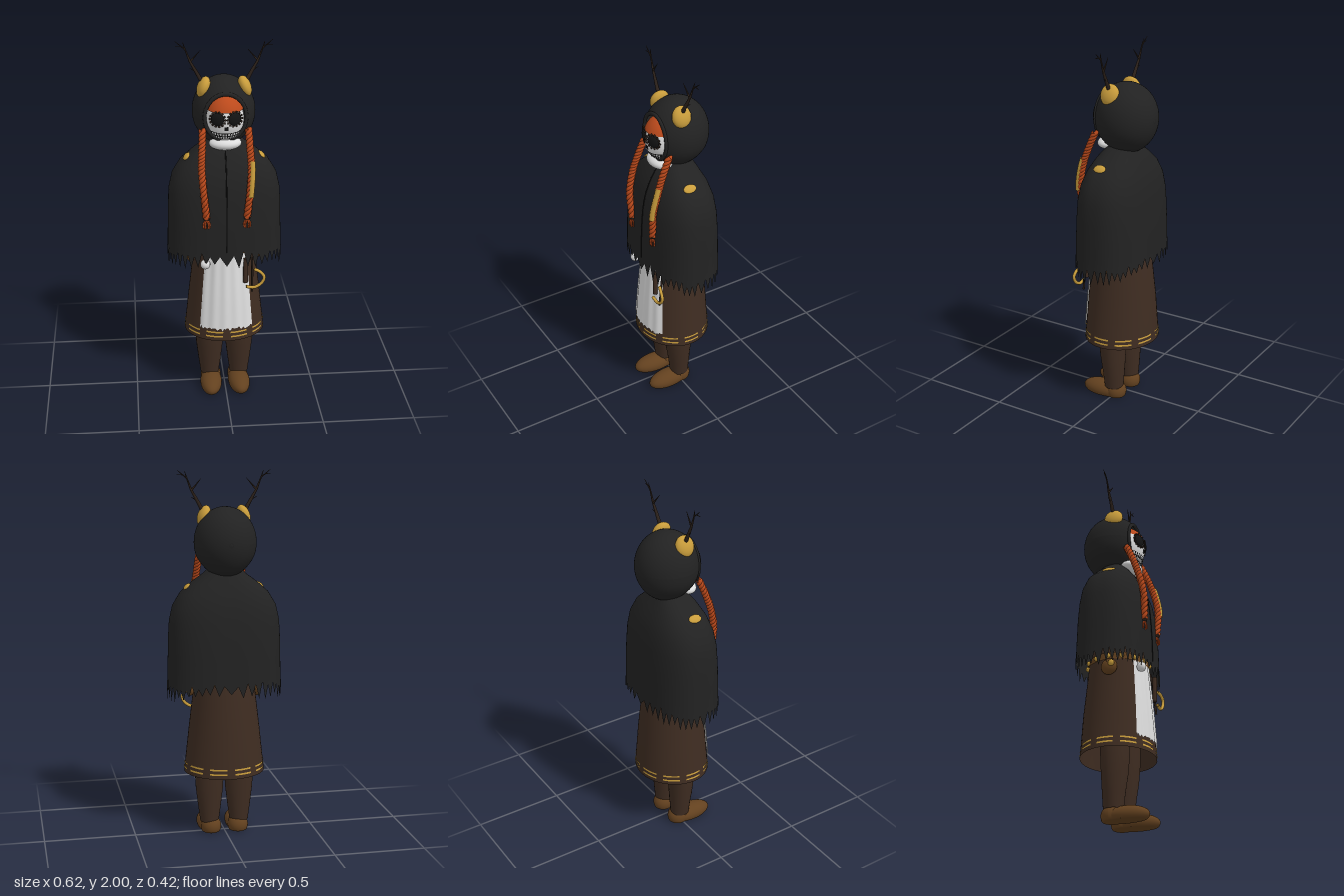
import * as THREE from 'three';
import { mergeVertices } from 'three/addons/utils/BufferGeometryUtils.js';

const mat = (name, color, side = THREE.FrontSide) => {
  const m = new THREE.MeshStandardMaterial({ color, side });
  m.name = name;
  return m;
};
const V = (x, y, z) => new THREE.Vector3(x, y, z);
const { sin, cos, PI, abs, sign } = Math;

// Surface from f(u, v) -> [x, y, z], with u running to the right and v upward
function grid(nu, nv, f) {
  const pos = [], idx = [];
  for (let j = 0; j <= nv; j++) for (let i = 0; i <= nu; i++) pos.push(...f(i / nu, j / nv, i, j));
  for (let j = 0; j < nv; j++) for (let i = 0; i < nu; i++) {
    const a = j * (nu + 1) + i, d = a + nu + 1;
    idx.push(a, a + 1, d + 1, a, d + 1, d);
  }
  let g = new THREE.BufferGeometry();
  g.setAttribute('position', new THREE.Float32BufferAttribute(pos, 3));
  g.setIndex(idx);
  g = mergeVertices(g, 1e-5);
  g.computeVertexNormals();
  return g;
}

// Rows are [y, half width, front depth, back depth]; n < 1 makes a squarer section
function ringPoint(row, a, n = 1, off = 0) {
  const s = sin(a), c = cos(a), p = q => sign(q) * abs(q) ** n;
  return [p(s) * (row[1] + off), row[0], p(c) * ((c > 0 ? row[2] : row[3]) + off)];
}
function rowAt(rows, y) {
  let k = 0;
  while (k < rows.length - 2 && y > rows[k + 1][0]) k++;
  const t = (y - rows[k][0]) / (rows[k + 1][0] - rows[k][0]);
  return rows[k].map((q, i) => q + (rows[k + 1][i] - q) * t);
}

export function createModel() {
  const root = new THREE.Group();
  root.name = 'cloakedFigure';
  const black = mat('black cloth', 0x222222, THREE.DoubleSide);
  const brown = mat('dark brown cloth', 0x3e2c21, THREE.DoubleSide);
  const leather = mat('brown leather', 0x63411f);
  const gold = mat('gold', 0xc99d3c, THREE.DoubleSide);
  const white = mat('bone white', 0xdedede, THREE.DoubleSide);
  const orange = mat('orange hair', 0xbc4a1c);
  const dark = mat('black detail', 0x141414, THREE.DoubleSide);
  const bark = mat('dark bark', 0x2c211a);

  let seed = 7;
  const rnd = () => (seed = (seed * 16807) % 2147483647) / 2147483647;
  const add = (name, geo, m, x = 0, y = 0, z = 0) => {
    const o = new THREE.Mesh(geo, m);
    o.name = name;
    o.position.set(x, y, z);
    root.add(o);
    return o;
  };
  const ball = (name, m, p, r, seg = 24) => {
    const o = add(name, new THREE.SphereGeometry(1, seg, Math.round(seg * 0.7)), m, ...p);
    o.scale.set(...r);
    return o;
  };
  const tube = (name, m, pts, r, seg = 24) =>
    add(name, new THREE.TubeGeometry(new THREE.CatmullRomCurve3(pts), seg, r, 8), m);
  const twig = (name, a, b, r0, r1) => {
    const d = b.clone().sub(a), o = add(name, new THREE.CylinderGeometry(r1, r0, d.length(), 7), bark);
    o.position.copy(a).addScaledVector(d, 0.5);
    o.quaternion.setFromUnitVectors(V(0, 1, 0), d.normalize());
  };

  // Robe with dashed gold trim
  const robe = [[0.355, 0.222, 0.195, 0.205], [0.6, 0.195, 0.178, 0.19], [0.85, 0.165, 0.155, 0.165],
    [1.2, 0.14, 0.11, 0.12], [1.38, 0.1, 0.07, 0.08]];
  add('robe', grid(48, 4, (u, v, i, j) => ringPoint(robe[j], (u * 2 - 1) * PI)), brown);
  for (const y of [0.377, 0.402]) for (let k = 0; k < 10; k++) {
    const mid = (k + 0.5) * PI / 5;
    add('robeTrim', grid(5, 1, (u, v) => {
      const q = y + v * 0.009;
      return ringPoint(rowAt(robe, q), mid + (u - 0.5) * 0.44, 1, 0.003);
    }), gold);
  }

  // Apron with a frayed lower edge
  add('apron', grid(40, 8, (u, v, i, j) => {
    const y = j ? 0.44 + v * 0.44 : 0.415 + rnd() * 0.022;
    return ringPoint(rowAt(robe, y), (u - 0.5) * 1.44, 1, 0.006 + 0.002 * sin(u * 30));
  }), white);

  // Belt, studs and hanging things
  add('belt', grid(40, 1, (u, v) => ringPoint(rowAt(robe, 0.86 + v * 0.04), (u * 2 - 1) * PI, 1, 0.008)), leather);
  for (let k = 0; k < 14; k++) {
    const p = ringPoint(rowAt(robe, 0.88), (k + 0.5) * PI / 7, 1, 0.01);
    ball('beltStud', gold, p, [0.012, 0.014, 0.012], 10);
  }
  ball('sidePouch', leather, [-0.185, 0.81, 0.01], [0.025, 0.045, 0.045], 16);
  ball('sidePouch', leather, [0.185, 0.82, 0.01], [0.02, 0.04, 0.04], 16);
  ball('pouchClasp', gold, [-0.21, 0.82, 0.03], [0.012, 0.018, 0.018], 12);
  ball('beltCharm', white, [-0.115, 0.815, 0.165], [0.027, 0.027, 0.025], 16);
  add('toolHandle', new THREE.CylinderGeometry(0.013, 0.013, 0.14, 10), brown, 0.103, 0.77, 0.165);
  tube('cord', bark, [V(0.135, 0.88, 0.13), V(0.14, 0.8, 0.145), V(0.14, 0.64, 0.16)], 0.006, 10);
  tube('curvedHorn', gold, [V(0.105, 0.68, 0.18), V(0.15, 0.675, 0.18), V(0.19, 0.7, 0.18),
    V(0.203, 0.735, 0.18), V(0.18, 0.765, 0.175), V(0.15, 0.775, 0.165)], 0.009);

  // Cloak with a torn hem, lower at the sides
  const cloak = [[0.89, 0.309, 0.19, 0.203], [1.0, 0.306, 0.188, 0.2], [1.1, 0.304, 0.183, 0.196],
    [1.2, 0.298, 0.175, 0.188], [1.28, 0.28, 0.16, 0.176], [1.35, 0.238, 0.135, 0.155],
    [1.41, 0.17, 0.102, 0.125], [1.45, 0.115, 0.072, 0.105], [1.48, 0.085, 0.04, 0.09]];
  const N = 88;
  const hem = Array.from({ length: N }, (_, i) => (i % 2 ? 0.865 : 0.795) + rnd() * 0.035);
  add('cloak', grid(N, 9, (u, v, i, j) => {
    const a = (u * 2 - 1) * PI;
    if (j) return ringPoint(cloak[j - 1], a, 0.8);
    const y = hem[i % N] - 0.035 * sin(a) ** 2;
    return ringPoint([y, 0.312, 0.192, 0.205], a, 0.8);
  }), black);
  tube('cloakSeam', dark, cloak.slice(0, 8).map(r => V(0, r[0], r[2])), 0.003, 30);

  // Hood: a rounded shell open at the face, with a rolled rim
  const shell = new THREE.SphereGeometry(1, 48, 32, 0, PI * 2, 0.7).rotateX(PI / 2);
  const p = shell.attributes.position;
  for (let i = 0; i < p.count; i++) {
    const y = p.getY(i), taper = y < -0.4 ? 1 - 0.2 * (-y - 0.4) : 1;
    p.setX(i, p.getX(i) * taper);
  }
  shell.scale(0.167, 0.19, 0.17).translate(0, 1.62, -0.032);
  shell.computeVertexNormals();
  add('hood', shell, black);
  const rim = add('hoodRim', new THREE.TorusGeometry(1, 0.09, 10, 48), black, 0, 1.62, 0.096);
  rim.scale.set(0.109, 0.124, 0.1);

  // Mask face
  const fc = [0, 1.6, 0.05], fr = [0.1, 0.125, 0.095];
  const facePoint = (a, y, off = 0.002) => {
    const c = Math.sqrt(Math.max(0, 1 - ((y - fc[1]) / fr[1]) ** 2));
    return [sin(a) * c * (fr[0] + off), y, fc[2] + cos(a) * c * (fr[2] + off)];
  };
  const facePatch = (name, m, a0, a1, y0, y1, off, bend = 0) => add(name, grid(12, 3, (u, v) => {
    const a = a0 + (a1 - a0) * u;
    return facePoint(a, y0 + (y1 - y0) * v + bend * a * a, off);
  }), m);
  ball('face', white, fc, fr, 36);
  ball('chin', white, [0, 1.472, 0.07], [0.086, 0.036, 0.062]);
  facePatch('mouth', dark, -0.95, 0.95, 1.508, 1.546, 0.003, 0.008);
  for (let k = -5; k <= 5; k++) for (const y of [1.511, 1.53]) {
    facePatch('tooth', white, k * 0.16 - 0.05, k * 0.16 + 0.05, y, y + 0.013, 0.006, 0.008);
  }
  facePatch('noseHole', dark, -0.11, 0.11, 1.562, 1.584, 0.003);

  // Fringe
  const fringe = new THREE.SphereGeometry(1, 36, 14, 0, PI * 2, 0, 1.13).scale(0.104, 0.131, 0.103);
  add('hairFringe', fringe, orange, ...fc);

  for (const s of [-1, 1]) {
    const side = s > 0 ? 'left' : 'right';

    // Beaded eye
    const eye = ball(side + 'Eye', dark, [s * 0.045, 1.622, 0.132], [0.036, 0.036, 0.014], 20);
    eye.rotation.y = s * 0.4;
    for (let k = 0; k < 14; k++) {
      const a = k * PI / 7, x = 0.039 * cos(a);
      ball(side + 'EyeBead', bark, [s * 0.045 + x, 1.622 + 0.039 * sin(a), 0.135 - s * x * 0.4], [0.006, 0.006, 0.006], 8);
    }

    // Gold antler base and branching antler
    const base = ball(side + 'AntlerBase', gold, [s * 0.108, 1.758, 0.005], [0.033, 0.058, 0.053]);
    base.rotation.z = s * 0.35;
    const A = [V(s * 0.115, 1.785, 0.005), V(s * 0.145, 1.84, 0.003), V(s * 0.175, 1.893, 0),
      V(s * 0.2, 1.957, -0.002), V(s * 0.252, 2, -0.004)];
    for (let k = 0; k < 4; k++) twig(side + 'Antler', A[k], A[k + 1], 0.0115 - k * 0.0025, 0.009 - k * 0.0026);
    twig(side + 'AntlerBranch', A[2], V(s * 0.122, 1.955, 0.006), 0.006, 0.001);
    twig(side + 'AntlerBranch', A[3], V(s * 0.212, 1.995, -0.006), 0.004, 0.001);
    twig(side + 'AntlerBranch', V(s * 0.222, 1.975, -0.003), V(s * 0.252, 1.975, 0), 0.003, 0.001);
    twig(side + 'AntlerBranch', A[1], V(s * 0.178, 1.858, -0.003), 0.004, 0.001);

    // Shoulder ornament
    const orn = ball(side + 'ShoulderOrnament', gold, [s * 0.2, 1.38, 0.01], [0.024, 0.011, 0.037], 18);
    orn.rotation.z = -s * 0.75;

    // Three-strand braid ending in a tassel
    const path = new THREE.CatmullRomCurve3([V(s * 0.12, 1.555, 0.085), V(s * 0.126, 1.45, 0.13),
      V(s * 0.13, 1.36, 0.16), V(s * 0.122, 1.24, 0.185), V(s * 0.107, 1.09, 0.18)]);
    for (let k = 0; k < 3; k++) {
      const pts = Array.from({ length: 81 }, (_, i) => {
        const t = i / 80, a = t * PI * 14 + k * PI * 2 / 3;
        return path.getPoint(t).add(V(cos(a) * 0.009, 0, sin(a) * 0.009));
      });
      tube(side + 'Braid', orange, pts, 0.0115, 120);
    }
    ball(side + 'BraidTie', bark, [s * 0.107, 1.088, 0.18], [0.017, 0.01, 0.017], 12);
    for (let k = 0; k < 6; k++) {
      const a = k * PI / 3, dx = cos(a) * 0.016, dz = sin(a) * 0.012;
      tube(side + 'BraidTassel', orange, [V(s * 0.107, 1.085, 0.18),
        V(s * 0.107 + dx, 1.06, 0.18 + dz), V(s * 0.107 + dx * 0.9, 1.035, 0.18 + dz)], 0.005, 6);
    }
    if (s > 0) tube('braidWrap', gold, [0.4, 0.5, 0.6, 0.7, 0.8].map(t => path.getPoint(t).add(V(0.006, 0, 0.009))), 0.0155);

    // Trouser leg
    const leg = [[0.06, 0.052, 0.05, 0.055], [0.15, 0.064, 0.06, 0.06], [0.25, 0.076, 0.075, 0.065],
      [0.37, 0.082, 0.085, 0.07], [0.6, 0.08, 0.085, 0.08]];
    add(side + 'Leg', grid(24, 4, (u, v, i, j) => ringPoint(leg[j], (u * 2 - 1) * PI)), brown, s * 0.083, 0, 0);

    // Shoe with a flat sole
    for (const [name, y, z, r] of [['Shoe', 0.025, 0.065, [0.061, 0.052, 0.128]], ['ShoeHeel', 0.03, -0.01, [0.057, 0.06, 0.06]]]) {
      const g = new THREE.SphereGeometry(1, 28, 20).scale(...r).translate(0, y, z);
      const q = g.attributes.position;
      for (let i = 0; i < q.count; i++) q.setY(i, Math.max(0, q.getY(i)));
      g.computeVertexNormals();
      add(side + name, g, leather, s * 0.077, 0, 0).rotation.y = s * 0.04;
    }
  }
  return root;
}
